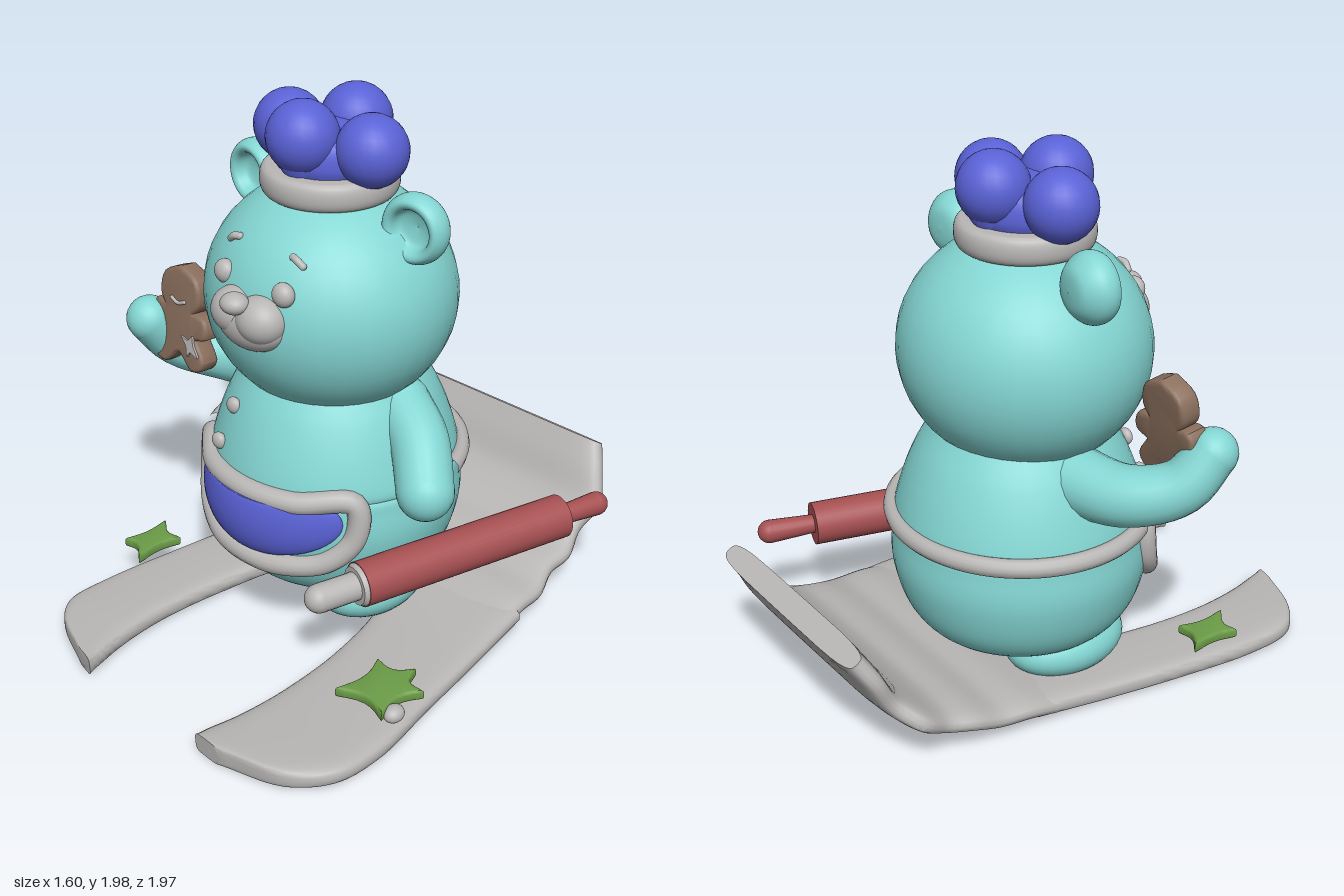
import * as THREE from 'three';
import { mergeGeometries, toCreasedNormals } from 'three/addons/utils/BufferGeometryUtils.js';

const material = (name, color) => {
  const m = new THREE.MeshStandardMaterial({ color });
  m.name = name;
  return m;
};
const V = (a) => new THREE.Vector3(...a);
const CX = -0.05, CZ = -0.065; // vertical axis of the bear

// Tapered rounded limb through a few points
function limb(points, r0, r1) {
  const n = 20, m = 20;
  const curve = new THREE.CatmullRomCurve3(points.map(V));
  const tube = new THREE.TubeGeometry(curve, n, 1, m);
  const p = tube.attributes.position, q = tube.attributes.normal;
  for (let i = 0; i < p.count; i++) {
    const k = r0 + (r1 - r0) * Math.floor(i / (m + 1)) / n - 1;
    p.setXYZ(i, p.getX(i) + q.getX(i) * k, p.getY(i) + q.getY(i) * k, p.getZ(i) + q.getZ(i) * k);
  }
  const ball = (r, at) => new THREE.SphereGeometry(r, 24, 16).translate(...at);
  return mergeGeometries([tube, ball(r0, points[0]), ball(r1, points[points.length - 1])]);
}

// Thick sheet lofted from front to back between two edge curves (a: low x, b: high x)
function sheet(a, b, half) {
  const rows = 48, m = 28, pos = [], idx = [];
  const ca = new THREE.CatmullRomCurve3(a.map(V)), cb = new THREE.CatmullRomCurve3(b.map(V));
  const mid = (t) => ca.getPoint(t).add(cb.getPoint(t)).multiplyScalar(0.5);
  const bend = (v, e) => Math.sign(v) * Math.abs(v) ** e;
  for (let i = 0; i <= rows; i++) {
    const t = i / rows, c = mid(t);
    const across = cb.getPoint(t).sub(ca.getPoint(t)).multiplyScalar(0.5);
    const along = mid(Math.min(1, t + 0.01)).sub(mid(Math.max(0, t - 0.01)));
    along.x = 0;
    const up = new THREE.Vector3(1, 0, 0).cross(along).normalize();
    for (let j = 0; j < m; j++) {
      const w = (j / m) * Math.PI * 2;
      const v = c.clone().addScaledVector(across, bend(Math.cos(w), 0.35)).addScaledVector(up, half * bend(Math.sin(w), 0.6));
      pos.push(v.x, v.y, v.z);
    }
  }
  for (let i = 0; i < rows; i++) for (let j = 0; j < m; j++) {
    const p = i * m + j, q = i * m + (j + 1) % m;
    idx.push(p, p + m, q, q, p + m, q + m);
  }
  const end = rows * m;
  for (let j = 1; j < m - 1; j++) idx.push(0, j, j + 1, end, end + j + 1, end + j);
  const g = new THREE.BufferGeometry();
  g.setAttribute('position', new THREE.Float32BufferAttribute(pos, 3));
  g.setIndex(idx);
  return toCreasedNormals(g, 0.8);
}

const lathe = (pts) => new THREE.LatheGeometry(new THREE.SplineCurve(pts.map((p) => new THREE.Vector2(...p))).getPoints(36), 56);
const plate = (shape, depth, bevel) => toCreasedNormals(new THREE.ExtrudeGeometry(shape, {
  depth, bevelEnabled: bevel > 0, bevelSize: bevel, bevelThickness: bevel, bevelSegments: 3, curveSegments: 10 }), 0.7);
const smoothShape = (pts) => new THREE.Shape(new THREE.SplineCurve([...pts, pts[0]].map((p) => new THREE.Vector2(...p))).getPoints(72).slice(0, -1));

export function createModel() {
  const teal = material('teal fur', 0x84d6d3), grey = material('light grey', 0xb9b7b6);
  const blue = material('blue cloth', 0x5a62d6), red = material('red wood', 0xa65052);
  const brown = material('ginger brown', 0x8a6f5d), green = material('leaf green', 0x6b9c47);
  const root = new THREE.Group();
  const add = (name, geo, mat, at = [0, 0, 0], parent = root) => {
    const mesh = new THREE.Mesh(geo, mat);
    mesh.name = name;
    mesh.position.set(...at);
    parent.add(mesh);
    return mesh;
  };
  const ball = (name, mat, at, r, parent) => {
    const mesh = add(name, new THREE.SphereGeometry(1, 36, 24), mat, at, parent);
    mesh.scale.set(...r);
    return mesh;
  };

  // Head, jacket and lower body
  ball('head', teal, [CX, 1.275, -0.045], [0.46, 0.425, 0.445]);
  add('jacket', lathe([[0.44, 0.62], [0.457, 0.66], [0.425, 0.78], [0.375, 0.9], [0.315, 1.0], [0.28, 1.06]]), teal, [CX, 0, CZ]);
  add('lowerBody', lathe([[0.001, 0.14], [0.2, 0.155], [0.34, 0.21], [0.425, 0.31], [0.468, 0.46], [0.465, 0.58], [0.44, 0.65], [0.3, 0.68]]), teal, [CX, 0, CZ]);
  for (const s of [-1, 1]) ball('foot', teal, [-0.04 + s * 0.22, 0.17, -0.02], [0.175, 0.12, 0.24]);

  // Ears: rounded back with a hollow front
  const ear = lathe([[0.001, -0.075], [0.07, -0.065], [0.115, -0.02], [0.123, 0.025], [0.105, 0.06], [0.08, 0.055], [0.06, 0.015], [0.001, 0.0]]).rotateX(Math.PI / 2);
  for (const s of [-1, 1]) add('ear', ear, teal, [CX + s * 0.378, 1.61, -0.07]).rotation.y = s * 0.12;

  // Arms
  add('loweredArm', limb([[0.25, 0.9, -0.09], [0.38, 0.83, -0.04], [0.495, 0.705, 0.05]], 0.11, 0.103), teal);
  add('raisedArm', limb([[-0.3, 0.88, -0.07], [-0.54, 0.87, 0.02], [-0.67, 0.92, 0.15], [-0.71, 1.035, 0.25]], 0.125, 0.088), teal);

  // Face
  for (const s of [-1, 1]) {
    ball('eye', grey, [-0.03 + s * 0.14, 1.43, 0.345], [0.043, 0.043, 0.035]);
    const x = -0.03 + s * 0.15;
    add('brow', limb([[x - 0.022, 1.533 - s * -0.01, 0.285], [x, 1.54, 0.29], [x + 0.022, 1.533 - s * 0.01, 0.285]], 0.013, 0.013), grey);
    ball('cheek', grey, [-0.025 + s * 0.06, 1.325, 0.375], [0.095, 0.085, 0.085]);
  }
  ball('chin', grey, [-0.025, 1.295, 0.365], [0.148, 0.098, 0.085]);
  ball('nose', grey, [-0.025, 1.388, 0.44], [0.052, 0.037, 0.048]);

  // Jacket buttons
  ball('button', grey, [-0.205, 0.875, 0.295], [0.032, 0.032, 0.022]);
  ball('button', grey, [-0.24, 0.735, 0.34], [0.032, 0.032, 0.022]);

  // Apron: belt, rim and bulging pouch wrapped around the belly
  const belly = (x, y) => CZ + Math.sqrt((0.47 - 0.6 * (y - 0.52) ** 2) ** 2 - x * x);
  const belt = new THREE.TorusGeometry(0.457, 0.03, 12, 60, Math.PI * 1.08).rotateZ(Math.PI * 0.83).rotateX(Math.PI / 2).scale(1, 1.15, 1);
  const beltMesh = add('belt', belt, grey, [CX, 0.657, CZ - 0.005]);
  beltMesh.scale.x = 1.03;
  const rimPath = [[-0.365, 0.65], [-0.375, 0.52], [-0.3, 0.415], [-0.15, 0.375], [0, 0.37], [0.15, 0.375], [0.3, 0.415], [0.375, 0.52], [0.365, 0.65], [0.2, 0.645], [0, 0.645], [-0.2, 0.645]];
  const rim = new THREE.CatmullRomCurve3(rimPath.map(([x, y]) => V([x, y, belly(x, y)])), true);
  add('apronRim', new THREE.TubeGeometry(rim, 120, 0.042, 14, true), grey, [CX, 0, 0]);
  const pouch = new THREE.SphereGeometry(1, 48, 32), pp = pouch.attributes.position;
  for (let i = 0; i < pp.count; i++) {
    const x = pp.getX(i) * 0.345, y = Math.min(0.64, 0.565 + pp.getY(i) * 0.165);
    pp.setXYZ(i, x, y, belly(x, y) + pp.getZ(i) * 0.055);
  }
  pouch.computeVertexNormals();
  add('apronPouch', pouch, blue, [CX, 0, 0]);

  // Puffed hat: rounded band, core and four lobes
  const hat = new THREE.Group();
  hat.name = 'hat';
  hat.position.set(-0.055, 0, -0.045);
  root.add(hat);
  add('hatBand', lathe([[0.19, 1.645], [0.225, 1.65], [0.241, 1.675], [0.242, 1.715], [0.228, 1.742], [0.19, 1.748], [0.001, 1.748]]), grey, [0, 0, 0], hat);
  add('hatCore', lathe([[0.17, 1.72], [0.19, 1.78], [0.17, 1.86], [0.09, 1.9], [0.001, 1.91]]), blue, [0, 0, 0], hat);
  for (let i = 0; i < 4; i++) {
    const c = Math.round(Math.cos(i * Math.PI / 2)), s = Math.round(Math.sin(i * Math.PI / 2));
    const top = s ? 1.87 : 1.835, out = s ? 0.13 : 0.195;
    add('hatLobe', limb([[c * 0.11, 1.77, s * 0.11], [c * 0.15, 1.8, s * 0.12], [c * out, top, s * out]], 0.085, 0.127), blue, [0, 0, 0], hat);
  }

  // Gingerbread biscuit with icing
  const biscuit = new THREE.Group();
  biscuit.name = 'biscuit';
  biscuit.position.set(-0.56, 1.08, 0.2);
  biscuit.rotation.x = -0.12;
  root.add(biscuit);
  const outline = smoothShape([[0, 0.185], [0.075, 0.15], [0.09, 0.08], [0.06, 0.03], [0.125, 0.015], [0.135, -0.035], [0.08, -0.06], [0.13, -0.14], [0.085, -0.175],
    [0.01, -0.12], [-0.065, -0.18], [-0.115, -0.15], [-0.075, -0.06], [-0.125, -0.02], [-0.115, 0.03], [-0.06, 0.03], [-0.09, 0.08], [-0.075, 0.15]]);
  add('biscuitBody', plate(outline, 0.055, 0.015), brown, [0, 0, -0.028], biscuit);
  add('icingSmile', limb([[-0.035, 0.07, 0.043], [0, 0.058, 0.043], [0.035, 0.07, 0.043]], 0.007, 0.007), grey, [0, 0, 0], biscuit);
  const icing = smoothShape([[0.03, -0.06], [0.07, -0.065], [0.09, -0.045], [0.1, -0.08], [0.125, -0.12], [0.085, -0.11], [0.07, -0.13], [0.06, -0.09]]);
  add('icingPatch', plate(icing, 0.009, 0), grey, [0, 0, 0.041], biscuit);

  // Rolling pin, lying along its own axis from front handle to back handle
  const pin = new THREE.Group();
  pin.name = 'rollingPin';
  pin.position.set(0.53, 0.4, -0.125);
  pin.quaternion.setFromUnitVectors(V([0, 1, 0]), V([0.27, 0, -0.963]).normalize());
  root.add(pin);
  add('pinBarrel', new THREE.CylinderGeometry(0.082, 0.082, 0.87, 28), red, [0, 0, 0], pin);
  add('pinBackHandle', limb([[0, 0.42, 0], [0, 0.5, 0], [0, 0.605, 0]], 0.035, 0.045), red, [0, 0, 0], pin);
  add('pinFrontHandle', limb([[0, -0.42, 0], [0, -0.5, 0], [0, -0.595, 0]], 0.052, 0.052), grey, [0, 0, 0], pin);
  add('pinFrontCap', new THREE.CylinderGeometry(0.08, 0.07, 0.02, 28), grey, [0, -0.442, 0], pin);

  // Forked floor sheet with a curled, rippled back
  add('floorLeft', sheet(
    [[-0.35, 0.055, 0.955], [-0.53, 0.06, 0.88], [-0.61, 0.06, 0.79], [-0.62, 0.055, 0.6], [-0.58, 0.055, 0.3], [-0.53, 0.06, 0], [-0.49, 0.08, -0.3]],
    [[-0.26, 0.055, 0.975], [-0.27, 0.055, 0.92], [-0.295, 0.055, 0.8], [-0.31, 0.055, 0.6], [-0.28, 0.055, 0.3], [-0.2, 0.06, 0], [0.06, 0.08, -0.3]], 0.04), grey);
  add('floorRight', sheet(
    [[0.3, 0.055, 0.97], [0.3, 0.055, 0.93], [0.325, 0.055, 0.8], [0.34, 0.055, 0.6], [0.32, 0.055, 0.3], [0.24, 0.06, 0], [0, 0.08, -0.3]],
    [[0.42, 0.055, 0.975], [0.67, 0.06, 0.9], [0.775, 0.06, 0.78], [0.795, 0.055, 0.6], [0.75, 0.055, 0.3], [0.71, 0.06, 0], [0.675, 0.08, -0.3]], 0.04), grey);
  const back = [[-0.22, 0.07, 0.67], [-0.34, 0.095, 0.66], [-0.45, 0.1, 0.655], [-0.56, 0.135, 0.62], [-0.66, 0.155, 0.625], [-0.76, 0.215, 0.595], [-0.84, 0.29, 0.62], [-0.9, 0.4, 0.58], [-0.955, 0.49, 0.53]];
  const leftEdge = [-0.5, -0.5, -0.485, -0.485, -0.46, -0.475, -0.41, -0.405, -0.37];
  add('floorBack', sheet(back.map(([z, y], i) => [leftEdge[i], y, z]), back.map(([z, y, x]) => [x, y, z]), 0.045), grey);

  // Holly leaves and berry on the floor
  const leaf = (tips, cx, cz) => {
    const shape = new THREE.Shape();
    shape.moveTo(...tips[0]);
    tips.forEach((a, i) => {
      const b = tips[(i + 1) % tips.length];
      const f = 0.45;
      shape.quadraticCurveTo(cx + ((a[0] + b[0]) / 2 - cx) * f, cz + ((a[1] + b[1]) / 2 - cz) * f, ...b);
    });
    return plate(shape, 0.02, 0.01).rotateX(Math.PI / 2);
  };
  add('leaf', leaf([[-0.62, 0.31], [-0.505, 0.345], [-0.515, 0.52], [-0.63, 0.48]], -0.57, 0.41), green, [0, 0.19, 0]);
  add('leaf', leaf([[0.56, 0.35], [0.68, 0.305], [0.77, 0.37], [0.75, 0.54], [0.565, 0.55]], 0.66, 0.43), green, [0, 0.175, 0]);
  ball('berry', grey, [0.765, 0.155, 0.495], [0.034, 0.03, 0.04]);
  return root;
}
